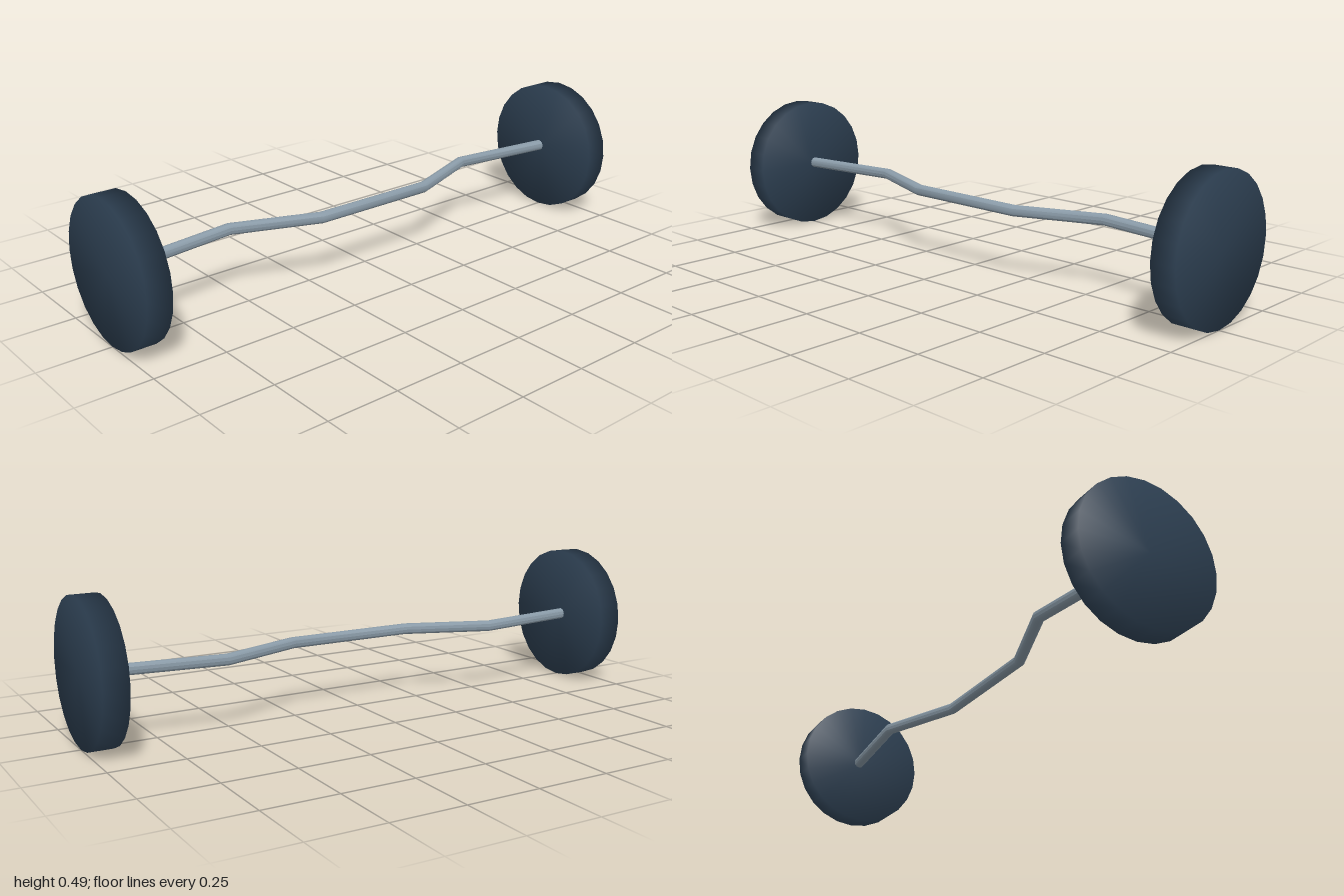
import * as THREE from 'three';
import { mergeVertices, toCreasedNormals } from 'three/addons/utils/BufferGeometryUtils.js';

const AXIS_Y = 0.245;

// Round bar along a bent centre line of [x, z] points, mitred at each bend
function bentBar(path, radius, sides) {
  const last = path.length - 1;
  const normals = path.slice(1).map(([x, z], i) =>
    new THREE.Vector2(-(z - path[i][1]), x - path[i][0]).normalize());
  const mitres = path.map((_, i) => {
    const a = normals[Math.max(i - 1, 0)], b = normals[Math.min(i, last - 1)];
    return a.clone().add(b).divideScalar(1 + a.dot(b));
  });
  const geo = new THREE.CylinderGeometry(radius, radius, 1, sides, last);
  const pos = geo.attributes.position;
  for (let i = 0; i < pos.count; i++) {
    const ring = Math.round((pos.getY(i) + 0.5) * last);
    const side = pos.getX(i), up = pos.getZ(i);
    pos.setXYZ(i,
      path[ring][0] + mitres[ring].x * side,
      up,
      path[ring][1] + mitres[ring].y * side);
  }
  return toCreasedNormals(geo, 0.75);
}

// Solid disc whose shading runs smoothly over the rim
function weightPlate(radius, thickness) {
  const geo = new THREE.CylinderGeometry(radius, radius, thickness, 24);
  geo.rotateZ(Math.PI / 2);
  geo.deleteAttribute('normal');
  geo.deleteAttribute('uv');
  const smooth = mergeVertices(geo, 1e-4);
  smooth.computeVertexNormals();
  return smooth;
}

export function createModel() {
  const model = new THREE.Group();
  model.name = 'curlBarbell';
  const steel = new THREE.MeshStandardMaterial({ color: 0x8a9ba8 });
  const iron = new THREE.MeshStandardMaterial({ color: 0x2c3e50 });

  // Zigzag bar, mirrored about the middle
  const half = [[0.23, 0.05], [0.525, -0.063], [0.95, -0.009]];
  const path = [...half.map(([x, z]) => [-x, z]).reverse(), ...half];
  const bar = new THREE.Mesh(bentBar(path, 0.02, 12), steel);
  bar.name = 'bar';
  bar.position.y = AXIS_Y;
  model.add(bar);

  // One plate at each end
  const plateGeo = weightPlate(0.244, 0.085);
  for (const [name, s] of [['leftPlate', 1], ['rightPlate', -1]]) {
    const plate = new THREE.Mesh(plateGeo, iron);
    plate.name = name;
    plate.position.set(s * 0.9575, AXIS_Y, 0);
    model.add(plate);
  }
  return model;
}
